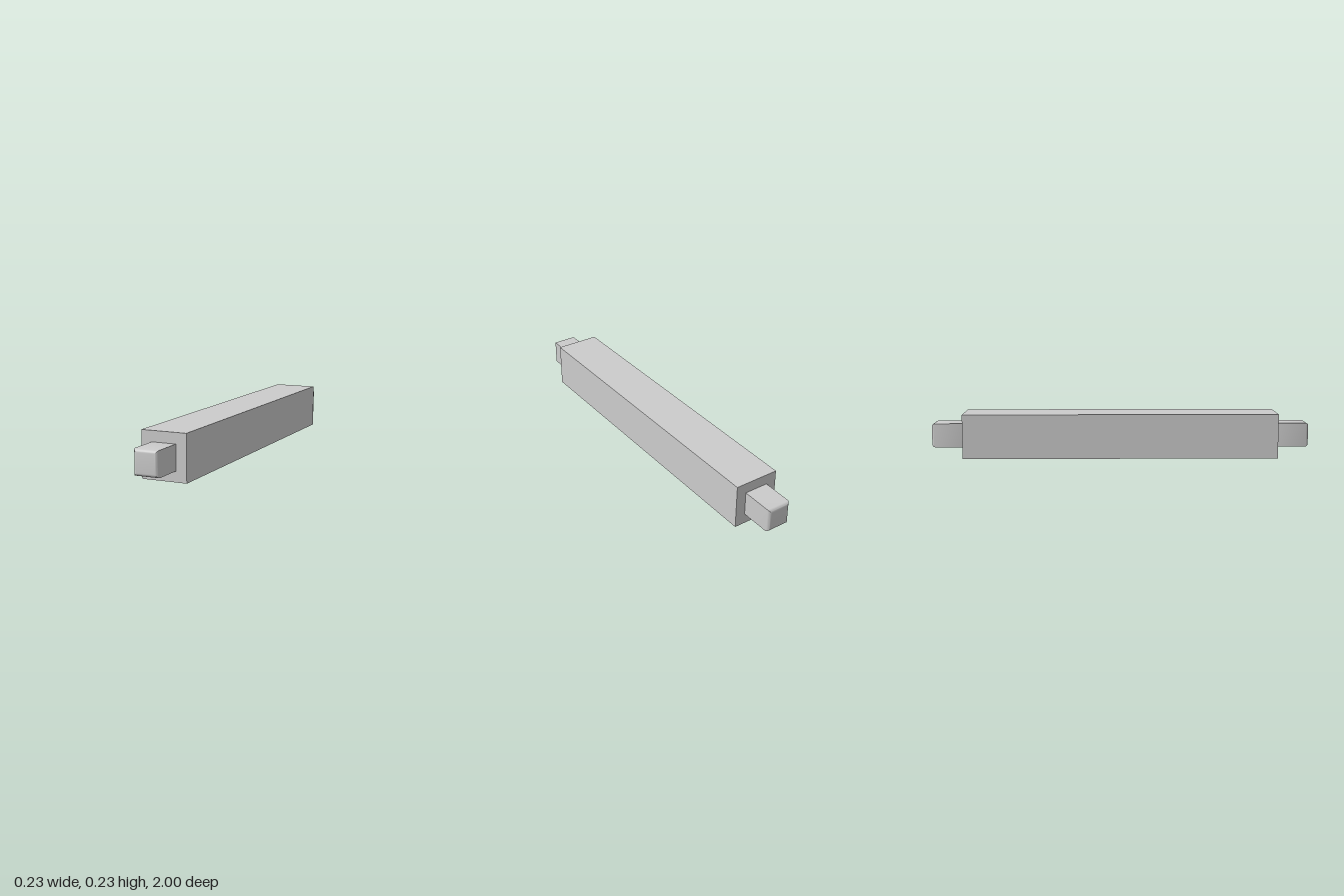
import * as THREE from 'three';
import { toCreasedNormals } from 'three/addons/utils/BufferGeometryUtils.js';

export function createModel() {
  const model = new THREE.Group();
  model.name = 'squareBar';
  const material = new THREE.MeshStandardMaterial({ color: 0xcccccc });

  const width = 0.234, length = 1.66, midY = width / 2;

  // Main square beam
  const beam = new THREE.Mesh(new THREE.BoxGeometry(width, width, length), material);
  beam.name = 'beam';
  beam.position.y = midY;
  model.add(beam);

  // Square end peg: sharp long edges, rounded mitred rim on the outer end
  const half = 0.063, round = 0.018, root = 0.78;
  const inner = half - round;
  const square = new THREE.Shape([
    new THREE.Vector2(-inner, -inner),
    new THREE.Vector2(inner, -inner),
    new THREE.Vector2(inner, inner),
    new THREE.Vector2(-inner, inner),
  ]);
  const pegGeometry = toCreasedNormals(new THREE.ExtrudeGeometry(square, {
    depth: 1 - root - 2 * round,
    bevelEnabled: true,
    bevelSize: round,
    bevelThickness: round,
    bevelSegments: 6,
  }).translate(0, 0, root + round), 0.5);

  // One peg at each end
  for (const [name, turn] of [['frontPeg', 0], ['backPeg', Math.PI]]) {
    const peg = new THREE.Mesh(pegGeometry, material);
    peg.name = name;
    peg.position.y = midY;
    peg.rotation.y = turn;
    model.add(peg);
  }

  return model;
}
